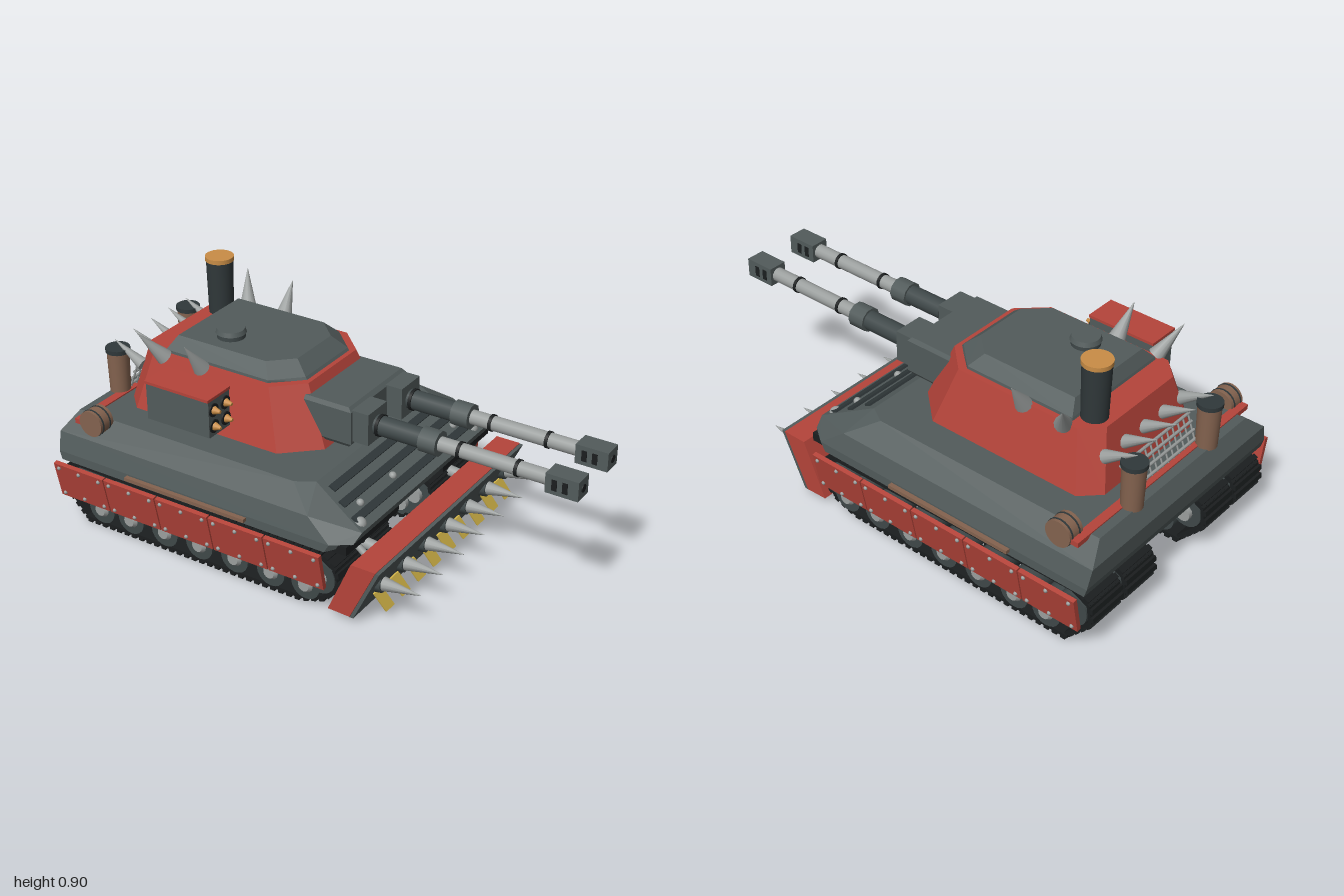
import * as THREE from 'three';
import { mergeGeometries } from 'three/addons/utils/BufferGeometryUtils.js';
import { ConvexGeometry } from 'three/addons/geometries/ConvexGeometry.js';

const mat = (name, color) => Object.assign(new THREE.MeshStandardMaterial({ color }), { name });
const V = (x, y, z) => new THREE.Vector3(x, y, z);

export function createModel() {
  const root = new THREE.Group();
  root.name = 'tank';
  const M = {
    armor: mat('armour grey', 0x525b5b), dark: mat('dark grey', 0x30383a), red: mat('red paint', 0xb5443a),
    steel: mat('light steel', 0x9b9f9e), black: mat('track black', 0x1b1e1f), brown: mat('barrel brown', 0x84634f),
    orange: mat('copper orange', 0xc98d46), yellow: mat('warning yellow', 0xd8b94a), gun: mat('gun grey', 0x3f4849),
  };
  const add = (name, geo, m, x = 0, y = 0, z = 0) => {
    const mesh = new THREE.Mesh(geo, m);
    mesh.name = name;
    mesh.position.set(x, y, z);
    root.add(mesh);
    return mesh;
  };
  const box = (name, m, x0, x1, y0, y1, z0, z1) => add(name, new THREE.BoxGeometry(x1 - x0, y1 - y0, z1 - z0), m,
    (x0 + x1) / 2, (y0 + y1) / 2, (z0 + z1) / 2);
  // Tapered rod from a to b
  const rod = (name, m, a, b, r0, r1 = r0, sides = 16) => {
    const d = b.clone().sub(a);
    const mesh = add(name, new THREE.CylinderGeometry(r1, r0, d.length(), sides), m);
    mesh.position.copy(a).addScaledVector(d, 0.5);
    mesh.quaternion.setFromUnitVectors(V(0, 1, 0), d.normalize());
    return mesh;
  };
  const spike = (a, b, r) => rod('spike', M.steel, a, b, r, 0.001, 12);
  // Convex body from rings [y, [[x, z], ...]] mirrored in z
  const body = (name, m, rings) => add(name, new ConvexGeometry(
    rings.flatMap(([y, pts]) => pts.flatMap(([x, z]) => [V(x, y, z), V(x, y, -z)]))), m);
  const both = (fn) => [1, -1].forEach(fn);

  // Hull
  body('hull', M.armor, [
    [0.44, [[-0.945, 0.43], [0.10, 0.39], [0.03, 0.43]]],
    [0.375, [[-0.98, 0.51], [0.14, 0.51]]],
    [0.33, [[0.32, 0.44]]],
    [0.30, [[-0.975, 0.53], [0.24, 0.53], [0.31, 0.48]]],
    [0.265, [[-0.965, 0.53], [0.22, 0.53]]],
  ]);
  body('belly', M.dark, [
    [0.27, [[-0.93, 0.15], [0.24, 0.15]]],
    [0.10, [[-0.85, 0.15], [0.12, 0.15]]],
  ]);

  // Front plate bars, bolts and lamps
  const slope = Math.atan2(-0.11, 0.22);
  for (const [x, w] of [[0.15, 0.37], [0.21, 0.40], [0.275, 0.42]]) {
    add('glacisBar', new THREE.BoxGeometry(0.03, 0.016, w * 2), M.dark, x, 0.44 - (x - 0.1) / 2, 0).rotation.z = slope;
  }
  for (const z of [-0.33, -0.11, 0.11, 0.33]) add('glacisBolt', new THREE.SphereGeometry(0.015, 10, 8), M.steel, 0.243, 0.37, z);
  both((s) => {
    add('headlamp', new THREE.SphereGeometry(0.026, 14, 10), M.steel, 0.285, 0.335, s * 0.4);
    const z = [s * 0.16, s * 0.51].sort((a, b) => a - b);
    box('frontFender', M.black, 0.18, 0.30, 0.265, 0.30, ...z);
    rod('bladeArm', M.steel, V(0.14, 0.2, s * 0.3), V(0.32, 0.18, s * 0.3), 0.022);
    rod('bladeStrut', M.steel, V(0.24, 0.27, s * 0.4), V(0.33, 0.2, s * 0.4), 0.013);
  });

  // Tracks, two on each side
  const loop = [[-0.87, 0.022], [0.10, 0.022], [0.20, 0.055], [0.26, 0.12], [0.245, 0.19], [0.18, 0.23],
    [-0.9, 0.245], [-0.97, 0.21], [-0.98, 0.14]].map(([x, y]) => V(x, y, 0));
  const path = new THREE.CurvePath();
  loop.forEach((p, i) => path.add(new THREE.LineCurve3(p, loop[(i + 1) % loop.length])));
  const links = [];
  const count = 76;
  for (let i = 0; i < count; i++) {
    const p = path.getPointAt(i / count), t = path.getTangentAt(i / count);
    const plate = new THREE.BoxGeometry(0.039, 0.012, 0.17);
    const pad = new THREE.BoxGeometry(0.02, 0.012, 0.17).translate(0, -0.011, 0);
    for (const g of [plate, pad]) links.push(g.rotateZ(Math.atan2(t.y, t.x)).translate(p.x, p.y, 0));
  }
  const trackGeo = mergeGeometries(links);
  for (const z of [-0.425, -0.235, 0.235, 0.425]) add('track', trackGeo, M.black, 0, 0, z);

  // Road wheels, end wheels and hubs
  const wheels = [-0.80, -0.66, -0.50, -0.34, -0.18, -0.02, 0.13].map((x) => [x, 0.088, 0.06]);
  wheels.push([-0.905, 0.165, 0.065], [0.19, 0.14, 0.065]);
  both((s) => {
    for (const [x, y, r] of wheels) {
      rod('wheel', M.gun, V(x, y, s * 0.15), V(x, y, s * 0.515), r, r, 20);
      rod('wheelHub', M.steel, V(x, y, s * 0.515), V(x, y, s * 0.528), 0.032, 0.022, 12);
      rod('wheelAxle', M.steel, V(x, y, s * 0.13), V(x, y, s * 0.15), 0.03, 0.03, 12);
    }
  });

  // Tilted side skirts with rivets
  both((s) => {
    for (let i = 0; i < 5; i++) {
      const skirt = new THREE.Group();
      skirt.name = 'sideSkirt';
      skirt.position.set(-0.845 + i * 0.24, 0.2, s * 0.558);
      skirt.rotation.x = s * 0.2;
      skirt.add(new THREE.Mesh(new THREE.BoxGeometry(0.234, 0.155, 0.018), M.red));
      for (const x of [-0.095, 0, 0.095]) for (const y of [-0.06, 0.06]) {
        const rivet = new THREE.Mesh(new THREE.SphereGeometry(0.008, 8, 6), M.steel);
        rivet.position.set(x, y, s * 0.01);
        skirt.add(rivet);
      }
      root.add(skirt);
    }
    add('skirtRail', new THREE.BoxGeometry(0.54, 0.014, 0.02), M.brown, -0.38, 0.287, s * 0.538);
  });

  // Turret
  body('turretRing', M.dark, [[0.455, [[-0.80, 0.26], [-0.04, 0.22]]], [0.435, [[-0.80, 0.26], [-0.04, 0.22]]]]);
  body('turret', M.red, [
    [0.45, [[-0.83, 0.25], [-0.76, 0.32], [-0.12, 0.32], [0.01, 0.20]]],
    [0.675, [[-0.78, 0.19], [-0.71, 0.26], [-0.19, 0.26], [-0.085, 0.16]]],
  ]);
  body('turretRoof', M.armor, [
    [0.67, [[-0.675, 0.238], [-0.21, 0.238], [-0.10, 0.14]]],
    [0.685, [[-0.67, 0.235], [-0.21, 0.235], [-0.11, 0.14]]],
    [0.732, [[-0.645, 0.19], [-0.25, 0.19], [-0.165, 0.11]]],
  ]);
  rod('hatch', M.gun, V(-0.475, 0.73, 0.09), V(-0.475, 0.755, 0.09), 0.054, 0.054, 24);
  rod('hatchLid', M.armor, V(-0.475, 0.75, 0.09), V(-0.475, 0.767, 0.09), 0.058, 0.052, 24);

  // Twin guns
  body('mantlet', M.armor, [
    [0.64, [[-0.10, 0.18], [0.10, 0.18]]], [0.625, [[0.115, 0.19], [-0.10, 0.19]]],
    [0.495, [[0.115, 0.19], [-0.03, 0.19]]], [0.48, [[-0.03, 0.18], [0.10, 0.18]]],
  ]);
  both((s) => {
    const z = s * 0.115;
    const along = (name, m, x0, x1, r, sides) => rod(name, m, V(x0, 0.565, z), V(x1, 0.565, z), r, r, sides);
    box('gunBase', M.armor, 0.11, 0.18, 0.505, 0.63, z - 0.063, z + 0.063);
    along('gunSleeve', M.gun, 0.18, 0.38, 0.038);
    along('gunCollar', M.armor, 0.37, 0.44, 0.048, 10);
    along('gunBarrel', M.steel, 0.43, 0.88, 0.028);
    for (const x of [0.19, 0.515, 0.74]) along('gunRing', M.black, x, x + 0.012, x < 0.3 ? 0.042 : 0.032);
    box('muzzleBrake', M.armor, 0.865, 0.99, 0.528, 0.603, z - 0.038, z + 0.038);
    for (const x of [0.90, 0.94]) both((t) => add('muzzleSlot', new THREE.BoxGeometry(0.02, 0.042, 0.004), M.black, x, 0.565, z + t * 0.038));
    along('muzzleBore', M.black, 0.985, 0.993, 0.015);
  });

  // Chimney
  rod('chimney', M.dark, V(-0.71, 0.6, -0.165), V(-0.71, 0.89, -0.165), 0.047, 0.053, 24);
  rod('chimneyCap', M.orange, V(-0.71, 0.89, -0.165), V(-0.71, 0.907, -0.165), 0.056, 0.056, 24);

  // Rocket box on the left of the turret
  box('rocketBox', M.armor, -0.6, -0.32, 0.512, 0.658, 0.323, 0.447);
  box('rocketLid', M.red, -0.605, -0.318, 0.657, 0.668, 0.318, 0.452);
  box('rocketBracket', M.dark, -0.52, -0.40, 0.55, 0.62, 0.25, 0.325);
  for (const y of [0.552, 0.617]) for (const z of [0.35, 0.42]) {
    rod('rocketTube', M.black, V(-0.33, y, z), V(-0.315, y, z), 0.026);
    rod('rocketTip', M.orange, V(-0.325, y, z), V(-0.288, y, z), 0.02, 0.006, 12);
  }

  // Turret spikes
  both((s) => {
    spike(V(-0.655, 0.67, s * 0.265), V(-0.71, 0.785, s * 0.345), 0.032);
    spike(V(-0.485, 0.67, s * 0.265), V(-0.495, 0.785, s * 0.345), 0.032);
  });
  for (let i = -2; i <= 2; i++) spike(V(-0.80, 0.58, i * 0.11), V(-0.93, 0.65, i * 0.11), 0.026);

  // Rear rack, grille and drums
  box('rackBar', M.red, -0.91, -0.875, 0.425, 0.445, -0.5, 0.5);
  for (let i = 0; i < 4; i++) rod('grilleRail', M.steel, V(-0.89 + i * 0.013, 0.46 + i * 0.03, -0.2), V(-0.89 + i * 0.013, 0.46 + i * 0.03, 0.2), 0.006, 0.006, 6);
  for (let i = -6; i <= 6; i++) rod('grilleBar', M.steel, V(-0.89, 0.45, i * 0.032), V(-0.85, 0.555, i * 0.032), 0.004, 0.004, 6);
  both((s) => {
    rod('uprightDrum', M.brown, V(-0.92, 0.435, s * 0.22), V(-0.92, 0.61, s * 0.22), 0.04, 0.044, 20);
    rod('drumLid', M.dark, V(-0.92, 0.605, s * 0.22), V(-0.92, 0.622, s * 0.22), 0.048, 0.048, 20);
    rod('sideDrum', M.brown, V(-0.83, 0.445, s * 0.437), V(-0.83, 0.445, s * 0.507), 0.052, 0.052, 20);
    for (const z of [0.452, 0.49]) rod('drumBand', M.dark, V(-0.83, 0.445, s * z), V(-0.83, 0.445, s * (z + 0.006)), 0.054, 0.054, 20);
  });

  // Dozer blade: red block, dark face, spikes and warning stripes
  const slab = (name, m, pts, w) => body(name, m, pts.map(([x, y]) => [y, [[x, w]]]));
  slab('blade', M.red, [[0.235, 0.035], [0.33, 0.252], [0.43, 0.252], [0.325, 0.032]], 0.53);
  slab('bladeFace', M.armor, [[0.325, 0.03], [0.43, 0.25], [0.445, 0.25], [0.34, 0.03]], 0.529);
  for (let i = -3; i <= 3; i++) {
    const z = i * 0.151;
    rod('spikeNut', M.gun, V(0.385, 0.16, z), V(0.42, 0.163, z), 0.036, 0.034, 6);
    spike(V(0.41, 0.162, z), V(0.567, 0.167, z), 0.028);
  }
  const stripe = new THREE.BoxGeometry(0.006, 0.08, 0.055);
  const pos = stripe.attributes.position;
  for (let i = 0; i < pos.count; i++) {
    const y = pos.getY(i);
    pos.setX(i, pos.getX(i) - y * 0.42);
    pos.setZ(i, pos.getZ(i) + y * 0.38);
  }
  stripe.computeVertexNormals();
  for (let i = -4; i <= 4; i++) add('warningStripe', stripe, M.yellow, 0.411, 0.088, i * 0.11);

  return root;
}
